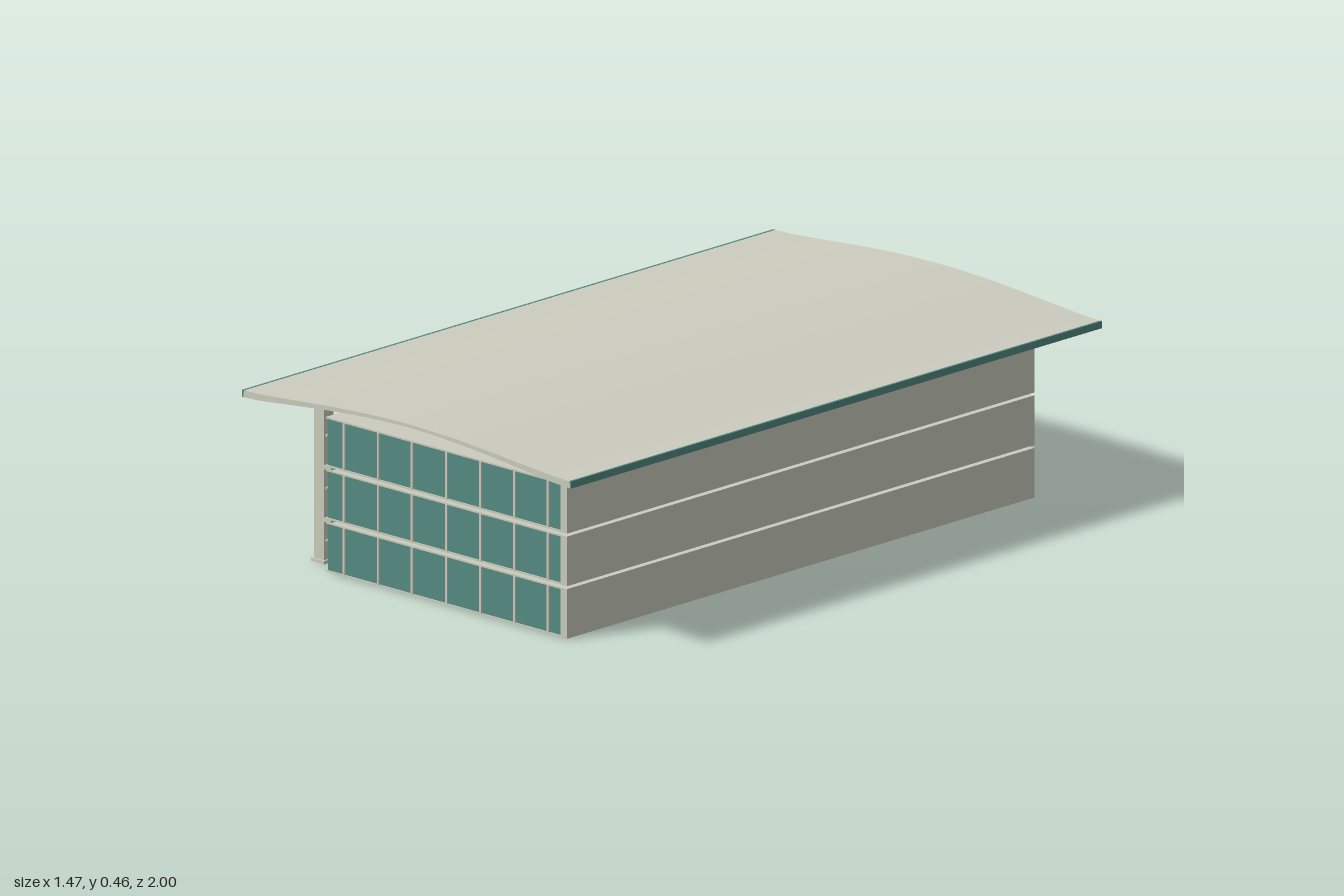
import * as THREE from 'three';

const mat = (name, color, extra = {}) => {
  const m = new THREE.MeshStandardMaterial({ color, ...extra });
  m.name = name;
  return m;
};

export function createModel() {
  const stone = mat('stone', 0xcccdbf);
  const glass = mat('glass', 0x548b81);
  const model = new THREE.Group();
  model.name = 'pavilion';
  const hall = new THREE.Group();
  hall.name = 'hall';
  hall.rotation.y = THREE.MathUtils.degToRad(-14);
  model.add(hall);

  // Box given by its minimum and maximum corners
  const box = (name, m, x0, x1, y0, y1, z0, z1) => {
    const b = new THREE.Mesh(new THREE.BoxGeometry(x1 - x0, y1 - y0, z1 - z0), m);
    b.name = name;
    b.position.set((x0 + x1) / 2, (y0 + y1) / 2, (z0 + z1) / 2);
    hall.add(b);
    return b;
  };

  const L = -0.36, R = 0.418, W = 0.398, D = 0.79;
  const storey = 0.1215, pitch = 0.1285, t = 0.004;

  // Three storeys separated by narrow open joints
  for (let i = 0; i < 3; i++) {
    const y0 = i * pitch, y1 = y0 + storey;
    box('sideWall', stone, W, R, y0, y1, -D, D);
    box('glazing', glass, L, W, y0 + t, y1 - t, -D + 0.003, D - 0.003);
    box('floorPlate', stone, L - t, W, y0, y0 + t, -D, D);
    box('ceilingPlate', stone, L - t, W, y1 - t, y1, -D, D);

    // Mullions on the two glazed ends
    for (const s of [-1, 1]) {
      for (const x of [-0.305, -0.194, -0.084, 0.027, 0.138, 0.248, 0.357]) {
        const z = s * (D - 0.001);
        box('endMullion', stone, x - 0.003, x + 0.003, y0 + t, y1 - t, z - 0.003, z + 0.003);
      }
    }

    // Window grid on the colonnade side
    for (let k = -8; k <= 8; k++) {
      const z = k * 0.0913;
      box('sideMullion', stone, L - 0.006, L, y0 + t, y1 - t, z - 0.003, z + 0.003);
    }
    const mid = y0 + storey * 0.62;
    box('windowRail', stone, L - 0.006, L, mid - 0.0025, mid + 0.0025, -D, D);
    for (let k = 1; k < 5; k += 2) {
      box('spandrelPanel', stone, L - 0.003, L, y0 + t, mid, k * 0.0913, (k + 1) * 0.0913);
    }
  }

  // Ledges bridging the joints on the colonnade side
  for (let i = 1; i < 3; i++) {
    box('ledge', stone, L - 0.012, L + 0.012, i * pitch - 0.008, i * pitch + 0.001, -D, D);
  }

  // Colonnade of nine square columns with bases and caps
  const C = -0.428;
  for (let k = -4; k <= 4; k++) {
    const z = k * 0.1826;
    const block = (name, h, y0, y1) => box(name, stone, C - h, C + h, y0, y1, z - h, z + h);
    block('columnBase', 0.021, 0, 0.008);
    block('columnShaft', 0.016, 0.008, 0.377);
    block('columnCap', 0.021, 0.377, 0.386);
  }

  // Arched roof shell: stone on top, teal below and along the long edges
  const top = [[0, 0.462], [0.08, 0.4605], [0.17, 0.457], [0.26, 0.451], [0.35, 0.4435], [0.43, 0.437], [0.48, 0.4335], [0.531, 0.432]];
  const low = [[0, 0.454], [0.08, 0.452], [0.17, 0.4475], [0.26, 0.44], [0.35, 0.431], [0.43, 0.4225], [0.48, 0.4175], [0.531, 0.415]];
  const whole = (p) => [...p.slice(1).reverse().map(([x, y]) => [-x, y]), ...p];
  const upper = whole(top), lower = whole(low);
  const H = 0.897;

  // Strip between two rails of matching points
  const strip = (name, m, a, b) => {
    const pos = [], idx = [];
    a.forEach((p, i) => {
      pos.push(...p, ...b[i]);
      if (i) {
        const n = 2 * i;
        idx.push(n - 2, n - 1, n, n, n - 1, n + 1);
      }
    });
    const g = new THREE.BufferGeometry();
    g.setAttribute('position', new THREE.Float32BufferAttribute(pos, 3));
    g.setIndex(idx);
    g.computeVertexNormals();
    const s = new THREE.Mesh(g, m);
    s.name = name;
    hall.add(s);
  };
  const at = (p, z) => p.map(([x, y]) => [x, y, z]);
  strip('roofTop', stone, at(upper, -H), at(upper, H));
  strip('roofUnderside', glass, at(lower, H), at(lower, -H));
  strip('roofFrontEdge', stone, at(upper, H), at(lower, H));
  strip('roofBackEdge', stone, at(lower, -H), at(upper, -H));
  for (const s of [-1, 1]) {
    const x = s * 0.531;
    box('roofFascia', glass, x - 0.003, x + 0.003, 0.415, 0.4325, -H, H);
  }
  return model;
}
